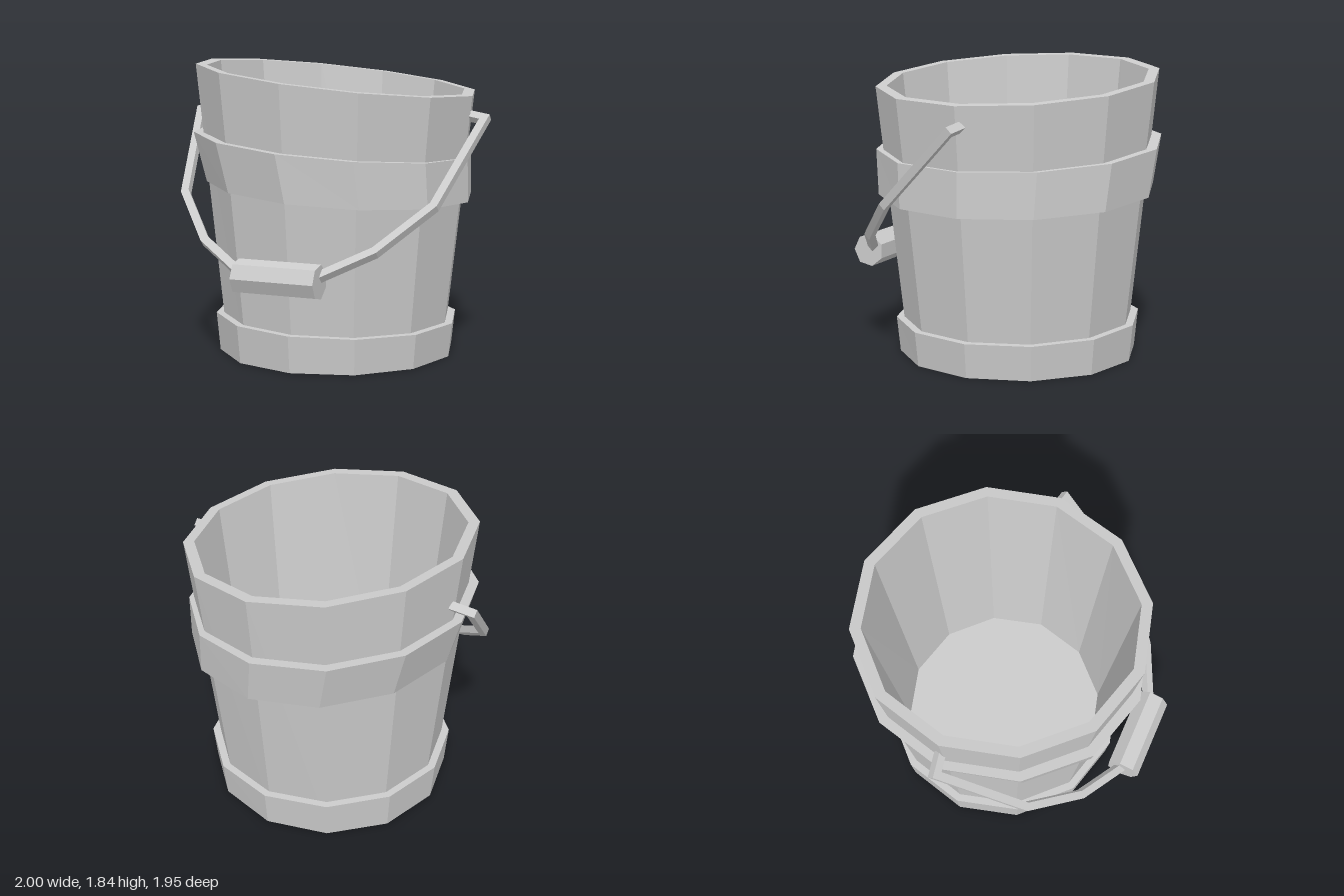
import * as THREE from 'three';

const SIDES = 12;
const CENTRE_Z = -0.065;

function makeMesh(name, geometry, material) {
  const mesh = new THREE.Mesh(geometry, material);
  mesh.name = name;
  return mesh;
}

// Twelve-sided lathe whose rings can lean: each ring is
// [radius, height, slope along x, x shift, x scale].
function leaningLathe(rings) {
  const geo = new THREE.LatheGeometry(rings.map(([r, y]) => new THREE.Vector2(r, y)), SIDES);
  const pos = geo.attributes.position;
  for (let i = 0; i < pos.count; i++) {
    const [, y, slope = 0, shift = 0, scale = 1] = rings[i % rings.length];
    const x = pos.getX(i) * scale + shift;
    pos.setXYZ(i, x, y + slope * x, pos.getZ(i) + CENTRE_Z);
  }
  geo.computeVertexNormals();
  return geo;
}

// Outline of a bar of even width along a 2D path, with mitred corners.
function barShape(path, width) {
  const side = (sign) => path.map((p, i) => {
    const a = path[Math.max(i - 1, 0)], b = path[Math.min(i + 1, path.length - 1)];
    const before = i > 0 ? p.clone().sub(a).normalize() : b.clone().sub(p).normalize();
    const after = i < path.length - 1 ? b.clone().sub(p).normalize() : before;
    const n1 = new THREE.Vector2(-before.y, before.x);
    const n2 = new THREE.Vector2(-after.y, after.x);
    const miter = n1.clone().add(n2).normalize();
    return p.clone().addScaledVector(miter, sign * width / 2 / miter.dot(n1));
  });
  return new THREE.Shape([...side(1), ...side(-1).reverse()]);
}

export function createModel() {
  const group = new THREE.Group();
  group.name = 'bucket';
  const material = new THREE.MeshStandardMaterial({ color: 0xcccccc, flatShading: true });

  // Hollow body with a slanted rim
  group.add(makeMesh('body', leaningLathe([
    [0, 0.02], [0.707, 0.02], [0.89, 1.74, -0.113],
    [0.822, 1.74, -0.113], [0.65, 0.12], [0, 0.12],
  ]), material));

  // Foot band, closed underneath
  group.add(makeMesh('lowerHoop', leaningLathe([
    [0, 0], [0.755, 0], [0.778, 0.23, -0.02], [0.7, 0.23, -0.02],
  ]), material));

  // Crooked band around the upper part
  group.add(makeMesh('upperHoop', leaningLathe([
    [0.77, 1.044, -0.068], [0.875, 1.044, -0.068, 0.025, 0.966],
    [0.907, 1.333, -0.088, -0.02, 0.976], [0.8, 1.333, -0.088],
  ]), material));

  // Handle: drawn flat (x, distance from pivot), then swung forward
  const half = [[0.84, -0.03], [0.97, 0], [0.82, 0.7], [0.55, 1.06], [0.25, 1.27]];
  const path = [...half, ...half.slice().reverse().map(([x, s]) => [-x, s])]
    .map(([x, s]) => new THREE.Vector2(x, -s));
  const barGeo = new THREE.ExtrudeGeometry(barShape(path, 0.05), { depth: 0.05, bevelEnabled: false });
  barGeo.translate(0, 0, -0.025);
  const handle = new THREE.Group();
  handle.name = 'handle';
  handle.add(makeMesh('handleBar', barGeo, material));
  handle.position.set(0, 1.5, -0.07);
  handle.rotation.x = -Math.atan2(0.945, 0.89);
  group.add(handle);

  // Seven-sided grip
  const gripGeo = new THREE.CylinderGeometry(0.105, 0.105, 0.525, 7);
  gripGeo.rotateZ(Math.PI / 2);
  const grip = makeMesh('grip', gripGeo, material);
  grip.position.set(0.0125, 0.608, 0.875);
  group.add(grip);

  return group;
}
